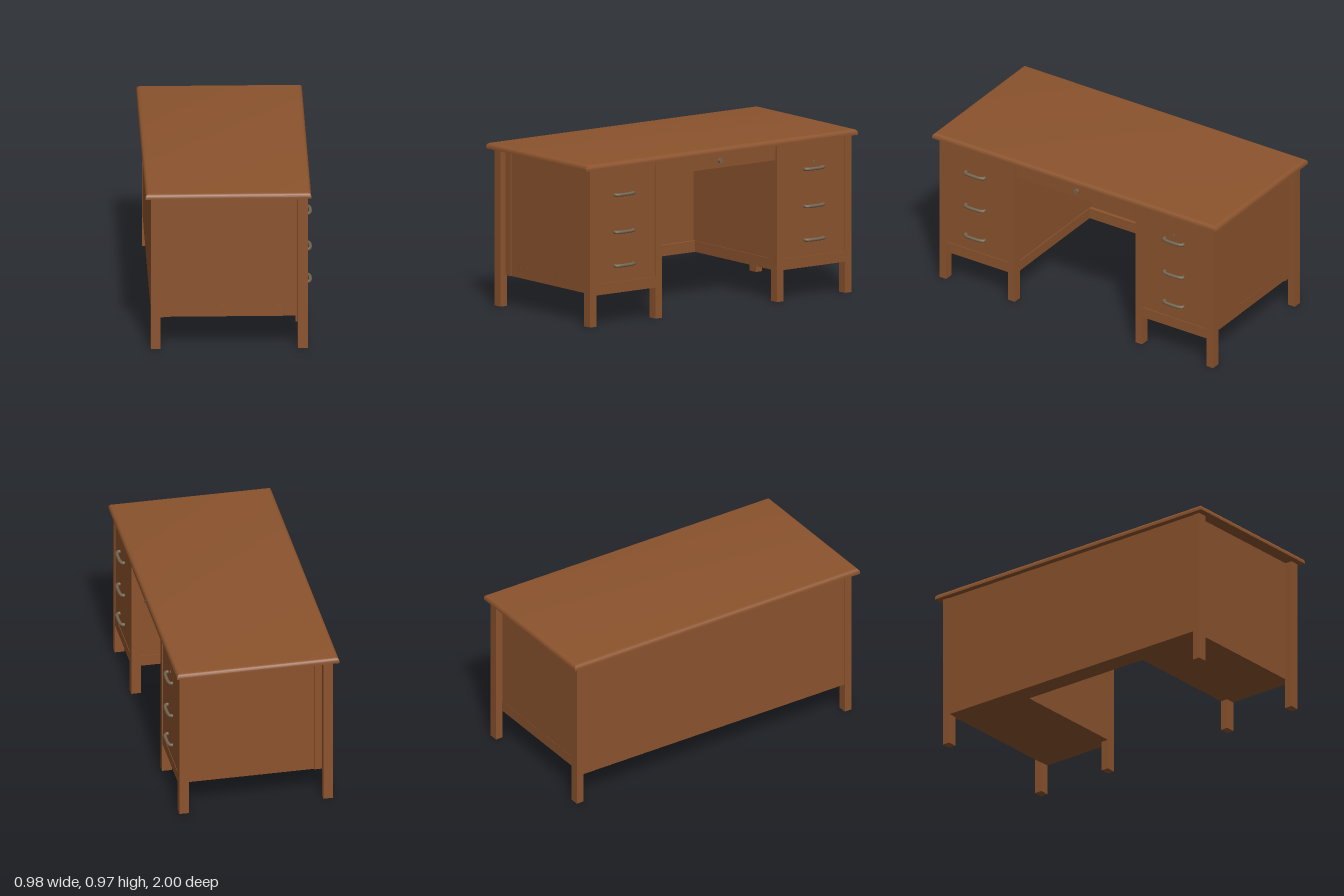
import * as THREE from 'three';
import { toCreasedNormals } from 'three/addons/utils/BufferGeometryUtils.js';

export function createModel() {
  const desk = new THREE.Group();
  desk.name = 'desk';
  const wood = new THREE.MeshStandardMaterial({ color: 0x8b532d });
  wood.name = 'brown wood';
  const metal = new THREE.MeshStandardMaterial({ color: 0x73644f });
  metal.name = 'aged metal';

  const add = (name, geometry, material, parent = desk) => {
    const mesh = new THREE.Mesh(geometry, material);
    mesh.name = name;
    parent.add(mesh);
    return mesh;
  };
  // Wooden board given by its extents on each axis
  const board = (name, [x0, x1], [y0, y1], [z0, z1], parent) => {
    const mesh = add(name, new THREE.BoxGeometry(x1 - x0, y1 - y0, Math.abs(z1 - z0)), wood, parent);
    mesh.position.set((x0 + x1) / 2, (y0 + y1) / 2, (z0 + z1) / 2);
    return mesh;
  };

  // Table top: stacked rectangles with a quarter-round upper edge
  const rings = [[0, 0.936]];
  const steps = 6, radius = 0.025;
  for (let i = 0; i <= steps; i++) {
    const a = (i / steps) * Math.PI / 2;
    rings.push([radius * (1 - Math.cos(a)), 0.945 + radius * Math.sin(a)]);
  }
  const points = [], faces = [];
  for (const [inset, y] of rings) {
    const x0 = -0.492 + inset, x1 = 0.48 - inset, z = 1 - inset;
    points.push(x0, y, z, x1, y, z, x1, y, -z, x0, y, -z);
  }
  for (let r = 0; r < rings.length - 1; r++) {
    for (let c = 0; c < 4; c++) {
      const a = r * 4 + c, b = r * 4 + (c + 1) % 4;
      faces.push(a, b, b + 4, a, b + 4, a + 4);
    }
  }
  const t = (rings.length - 1) * 4;
  faces.push(t, t + 1, t + 2, t, t + 2, t + 3, 0, 2, 1, 0, 3, 2);
  const topGeometry = new THREE.BufferGeometry();
  topGeometry.setAttribute('position', new THREE.Float32BufferAttribute(points, 3));
  topGeometry.setIndex(faces);
  add('tableTop', toCreasedNormals(topGeometry, 0.5), wood);

  // Bowed drawer pull, bent inward at both ends
  const pullCurve = new THREE.CatmullRomCurve3([
    [0.452, -0.064], [0.468, -0.066], [0.477, -0.05], [0.481, 0],
    [0.477, 0.05], [0.468, 0.066], [0.452, 0.064],
  ].map(([x, z]) => new THREE.Vector3(x, 0, z)));
  const pullGeometry = new THREE.TubeGeometry(pullCurve, 28, 0.01, 10, false);

  const lock = (name, x, y, z, r, parent) => {
    const mesh = add(name, new THREE.CylinderGeometry(r, r, 0.024, 16), metal, parent);
    mesh.rotation.z = -Math.PI / 2;
    mesh.position.set(x, y, z);
  };

  // Two drawer pedestals with their legs and pulls
  const sides = [
    { name: 'leftPedestal', s: 1, outer: 0.937, inner: 0.454, pull: 0.71 },
    { name: 'rightPedestal', s: -1, outer: -0.943, inner: -0.442, pull: -0.69 },
  ];
  const half = 0.0235;
  for (const { name, s, outer, inner, pull } of sides) {
    const group = new THREE.Group();
    group.name = name;
    desk.add(group);
    const outside = outer - s * 0.021, inside = inner - s * half;
    board('pedestalBody', [-0.4, 0.452], [0.25, 0.937], [inside + s * 0.006, outside], group);
    board('baseRail', [-0.4, 0.458], [0.185, 0.25], [inside + s * 0.001, outside + s * 0.001], group);
    board('drawerFront', [0.45, 0.456], [0.252, 0.937], [inner + s * half, outer - s * half], group);
    for (const [legName, x, z] of [
      ['frontOuterLeg', 0.431, outer], ['frontInnerLeg', 0.431, inner], ['backLeg', -0.431, outer],
    ]) {
      board(legName, [x - 0.029, x + 0.029], [0, 0.937], [z - half, z + half], group);
    }
    for (const y of [0.77, 0.548, 0.348]) {
      add('drawerPull', pullGeometry, metal, group).position.set(0, y, pull);
    }
  }
  lock('pedestalLock', 0.449, 0.808, -0.69, 0.008, desk);

  // Back panel and the rail along the foot of the kneehole
  board('backPanel', [-0.456, -0.355], [0.185, 0.937], [-0.93, 0.925]);
  board('kneeholeRail', [-0.4, -0.333], [0.185, 0.25], [-0.43, 0.44]);

  // Shallow centre drawer with its lock
  board('centreDrawer', [0.01, 0.44], [0.848, 0.937], [-0.415, 0.427]);
  board('centreDrawerFront', [0.43, 0.452], [0.845, 0.93], [-0.412, 0.424]);
  lock('centreDrawerLock', 0.456, 0.888, -0.003, 0.014, desk);

  return desk;
}
